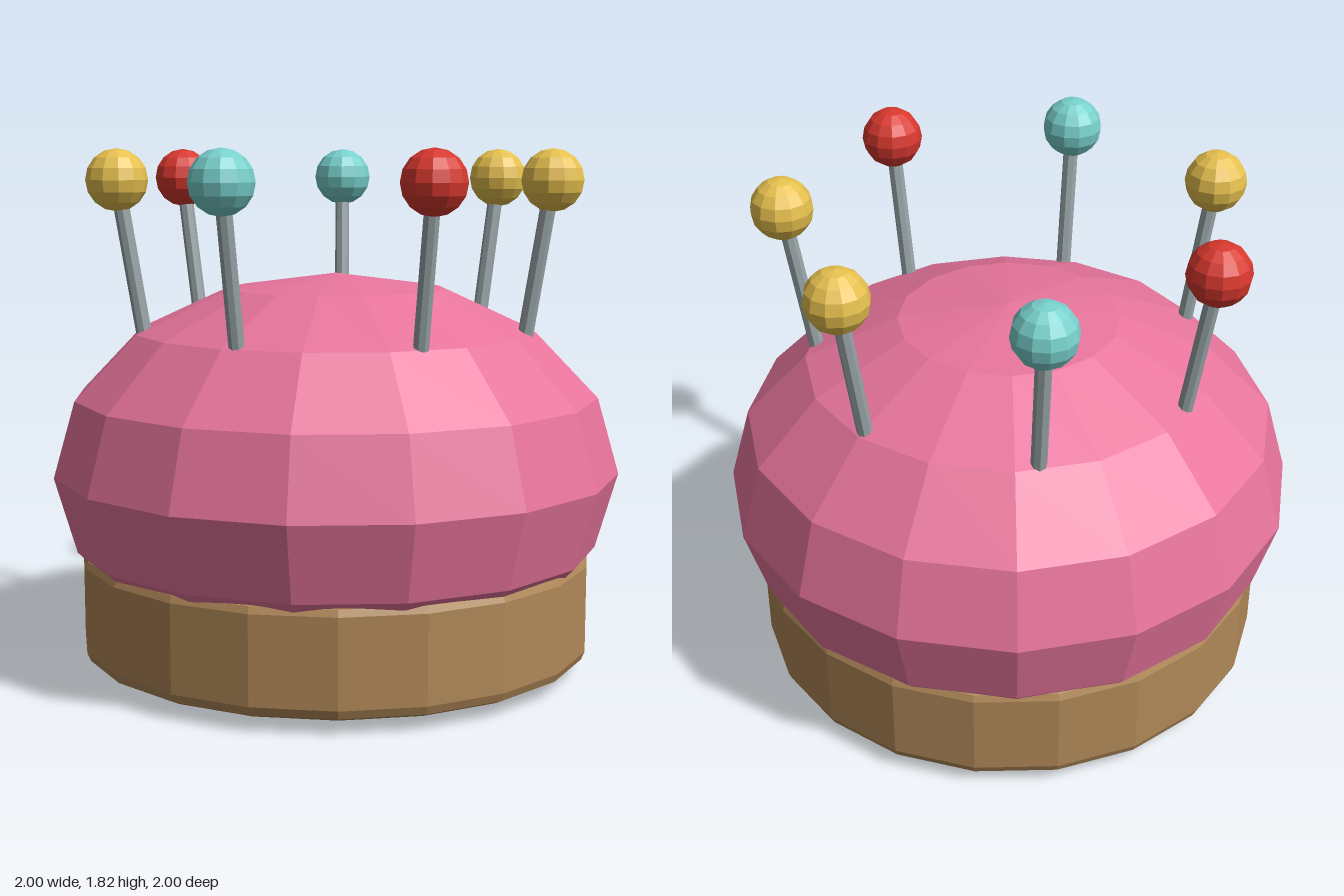
import * as THREE from 'three';

const material = (color) => new THREE.MeshStandardMaterial({ color, flatShading: true });

function addMesh(parent, name, geometry, mat) {
  const mesh = new THREE.Mesh(geometry, mat);
  mesh.name = name;
  parent.add(mesh);
  return mesh;
}

export function createModel() {
  const model = new THREE.Group();
  model.name = 'pincushion';

  // Squashed faceted cushion, whose lowest point pokes through the base
  const cushion = addMesh(model, 'cushion', new THREE.SphereGeometry(1, 16, 8), material(0xe8759c));
  cushion.scale.y = 0.692;
  cushion.position.y = 0.692;

  // Wooden base with softened rims
  const profile = [
    [0, 0.043], [0.87, 0.043], [0.896, 0.056], [0.908, 0.085],
    [0.908, 0.385], [0.898, 0.408], [0.87, 0.418], [0, 0.418],
  ].map(([r, y]) => new THREE.Vector2(r, y));
  addMesh(model, 'woodenBase', new THREE.LatheGeometry(profile, 20), material(0xb08858));

  // Ring of seven pins leaning outwards
  const steel = material(0x98a4a6);
  const yellow = material(0xe6c04e);
  const red = material(0xd8382e);
  const teal = material(0x78d0cc);
  const headMaterials = [yellow, yellow, red, teal, yellow, red, teal];
  const shaftLength = Math.hypot(0.085, 0.53);
  const shaftGeometry = new THREE.CylinderGeometry(0.027, 0.027, shaftLength, 8);
  const headGeometry = new THREE.SphereGeometry(0.107, 12, 8);

  headMaterials.forEach((headMaterial, i) => {
    const pin = new THREE.Group();
    pin.name = `pin${i + 1}`;
    pin.rotation.y = -i * Math.PI * 2 / headMaterials.length;
    model.add(pin);

    const shaft = addMesh(pin, 'pinShaft', shaftGeometry, steel);
    shaft.position.set(0.718, 1.445, 0);
    shaft.rotation.z = -Math.atan2(0.085, 0.53);

    const head = addMesh(pin, 'pinHead', headGeometry, headMaterial);
    head.position.set(0.76, 1.71, 0);
  });

  return model;
}
